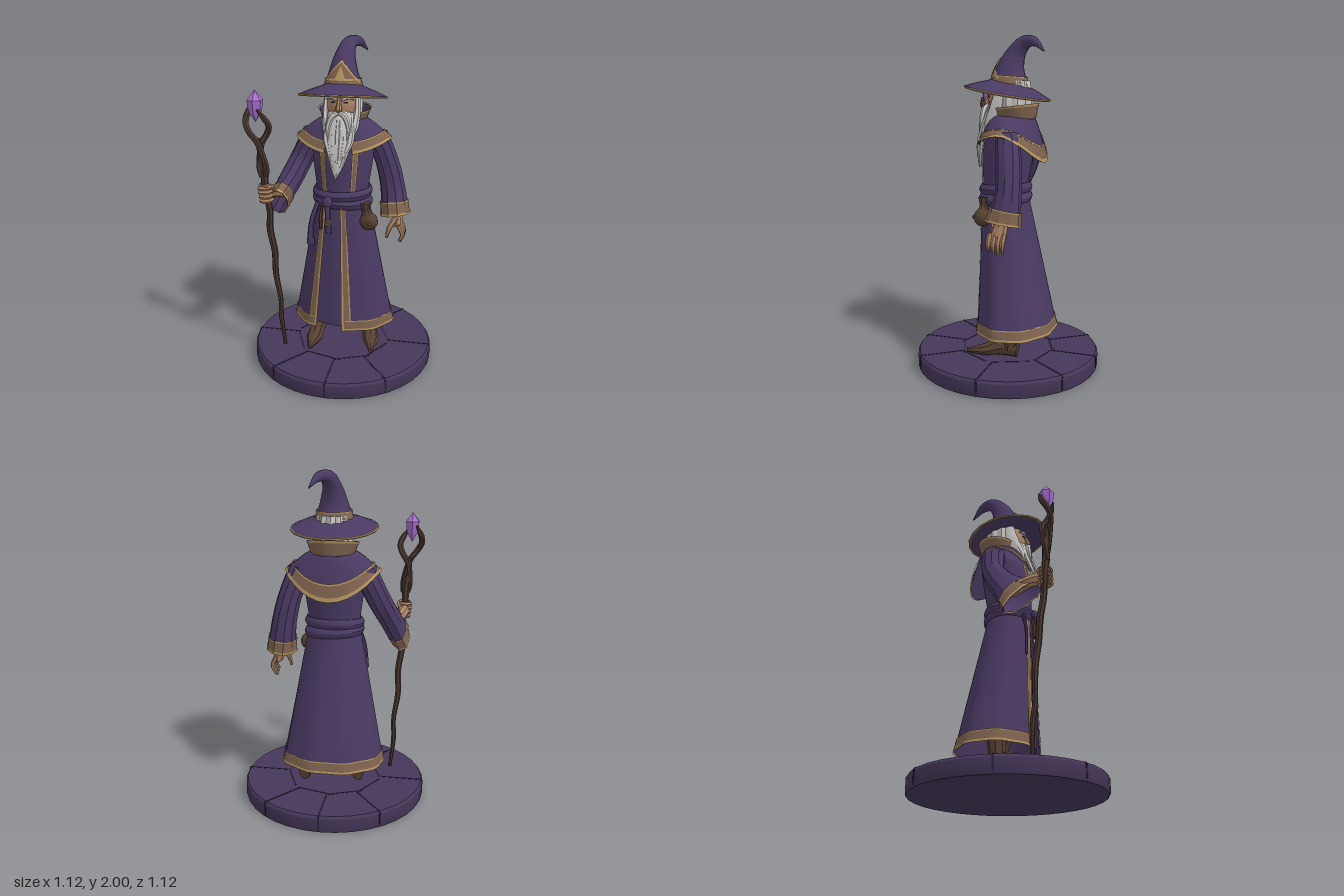
import * as THREE from 'three';
import { toCreasedNormals } from 'three/addons/utils/BufferGeometryUtils.js';
import { ParametricGeometry } from 'three/addons/geometries/ParametricGeometry.js';

const V = (x, y, z) => new THREE.Vector3(x, y, z);
const lerp = THREE.MathUtils.lerp;
const TAU = Math.PI * 2;

export function createModel() {
  const root = new THREE.Group();
  root.name = 'wizardFigure';
  const mats = {};
  const colours = {
    robe: 0x4a3a63, stone: 0x46375a, crack: 0x2b2138, trim: 0x7f634f, gold: 0xb3935d,
    wood: 0x493730, leather: 0x553f31, skin: 0xa98163, hair: 0xc6c4c2, crystal: 0xa86fd0,
  };
  for (const [name, color] of Object.entries(colours)) {
    mats[name] = new THREE.MeshStandardMaterial({ color, side: THREE.DoubleSide });
    mats[name].name = name;
  }

  function add(name, mat, geo, pos = [0, 0, 0], rot = [0, 0, 0], scale = [1, 1, 1]) {
    const m = new THREE.Mesh(toCreasedNormals(geo, 0.5), mats[mat]);
    m.name = name;
    m.position.set(...pos);
    m.rotation.set(...rot);
    m.scale.set(...scale);
    root.add(m);
    return m;
  }
  // Surface from a rule of two parameters
  const surf = (name, mat, fn, nu, nv) =>
    add(name, mat, new ParametricGeometry((u, v, t) => t.copy(fn(u, v)), nu, nv));

  // Tapered tube; each point is [x, y, z, radius, second radius]
  function limb(name, mat, pts, o = {}) {
    const { ref = V(0, 0, 1), n = 8, seg = pts.length * 3, t0 = 0, t1 = 1, u0 = 0, u1 = 1, off = 0, cap = true } = o;
    const curve = new THREE.CatmullRomCurve3(pts.map(p => V(p[0], p[1], p[2])));
    const rows = cap ? seg + 2 : seg;
    return surf(name, mat, (u, v) => {
      const k = Math.round(v * rows) - (cap ? 1 : 0);
      const end = typeof t1 === 'function' ? t1(u) : t1;
      const t = lerp(t0, end, THREE.MathUtils.clamp(k / seg, 0, 1));
      const f = t * (pts.length - 1), i = Math.min(Math.floor(f), pts.length - 2);
      const a = pts[i], b = pts[i + 1], flat = cap && (k < 0 || k > seg) ? 0 : 1;
      const r1 = (lerp(a[3], b[3], f - i) + off) * flat;
      const r2 = (lerp(a[4] ?? a[3], b[4] ?? b[3], f - i) + off) * flat;
      const T = curve.getTangent(t), N = ref.clone().cross(T).normalize(), B = T.clone().cross(N);
      const ang = lerp(u0, u1, u) * TAU;
      return curve.getPoint(t).addScaledVector(N, r1 * Math.cos(ang)).addScaledVector(B, r2 * Math.sin(ang));
    }, n, rows);
  }

  // Body outline: height, half width, front z, back z
  const rows = [[0.24, 0.31, 0.175, -0.295], [1.05, 0.16, 0.15, -0.125], [1.12, 0.155, 0.145, -0.12],
    [1.3, 0.18, 0.15, -0.15], [1.42, 0.19, 0.13, -0.165], [1.5, 0.13, 0.08, -0.15], [1.56, 0.08, 0.05, -0.1]];
  function body(a, y, off = 0) {
    let i = 0;
    while (i < rows.length - 2 && y > rows[i + 1][0]) i++;
    const f = (y - rows[i][0]) / (rows[i + 1][0] - rows[i][0]);
    const [rx, zf, zb] = [1, 2, 3].map(c => lerp(rows[i][c], rows[i + 1][c], f));
    const fold = Math.max(0, 1 - y) * 0.008 * Math.cos(a * 9);
    return V((rx + off + fold) * Math.sin(a), y, (zf + zb) / 2 + ((zf - zb) / 2 + off + fold) * Math.cos(a));
  }
  const patch = (name, mat, a0, a1, y0, y1, off, nu, nv) =>
    surf(name, mat, (u, v) => body(lerp(a0, a1, u), lerp(y0, y1, v), off), nu, nv);

  // Stone base with cracks
  add('base', 'stone', new THREE.LatheGeometry(
    [[0, 0], [0.555, 0], [0.56, 0.01], [0.56, 0.085], [0.55, 0.1], [0, 0.1]].map(p => new THREE.Vector2(...p)), 36));
  for (let i = 0; i < 8; i++) {
    const a = i * TAU / 8 + (i % 2 ? 0.13 * (i % 4 - 2) : 0), b = a + TAU / 16;
    add('baseCrack', 'crack', new THREE.BoxGeometry(0.01, 0.004, 0.27),
      [Math.sin(a) * 0.42, 0.1, Math.cos(a) * 0.42], [0, a, 0]);
    add('baseNotch', 'crack', new THREE.BoxGeometry(0.012, 0.08, 0.004),
      [Math.sin(a) * 0.559, 0.053, Math.cos(a) * 0.559], [0, a, 0]);
    add('innerCrack', 'crack', new THREE.BoxGeometry(0.22, 0.004, 0.008),
      [Math.sin(b) * 0.27, 0.1, Math.cos(b) * 0.27], [0, b, 0]);
  }

  // Boots
  for (const [x, heel, toeX, toe] of [[-0.16, -0.08, -0.17, 0.22], [0.17, -0.12, 0.21, 0.19]]) {
    limb('shoe', 'leather', [[x, 0.15, heel, 0.035, 0.05], [x, 0.16, heel + 0.09, 0.046, 0.06],
      [lerp(x, toeX, 0.6), 0.135, lerp(heel, toe, 0.65), 0.05, 0.035], [toeX, 0.122, toe, 0.012, 0.012]], { ref: V(0, 1, 0) });
    limb('bootLeg', 'leather', [[x, 0.15, heel + 0.05, 0.045], [x, 0.26, heel + 0.04, 0.052], [x * 0.85, 0.5, -0.02, 0.06]]);
  }

  // Robe: long coat, inner panel and bodice
  const A0 = 0.1, A1 = TAU - 0.48;
  patch('coatSkirt', 'robe', A0, A1, 0.24, 1.1, 0, 36, 8);
  patch('innerPanel', 'robe', -0.6, 0.25, 0.26, 1.1, -0.014, 6, 6);
  patch('bodice', 'robe', 0, TAU, 1.05, 1.56, 0, 24, 10);
  patch('hemTrim', 'trim', A0, A1, 0.245, 0.3, 0.005, 36, 1);
  patch('hemEdgeLow', 'gold', A0, A1, 0.236, 0.25, 0.007, 36, 1);
  patch('hemEdgeHigh', 'gold', A0, A1, 0.298, 0.304, 0.007, 36, 1);
  for (const [a, s] of [[A0, 1], [A1, -1]]) {
    patch('coatFrontTrim', 'trim', a, a + s * 0.16, 0.24, 1.04, 0.005, 2, 8);
    patch('coatFrontEdge', 'gold', a - s * 0.02, a + s * 0.03, 0.24, 1.04, 0.008, 1, 8);
    patch('coatInnerEdge', 'gold', a + s * 0.145, a + s * 0.175, 0.3, 1.04, 0.008, 1, 8);
    patch('chestTrim', 'trim', s * 0.44, s * 0.62, 1.11, 1.42, 0.005, 2, 5);
    for (const e of [0.43, 0.6]) patch('chestEdge', 'gold', s * e, s * (e + 0.04), 1.11, 1.42, 0.008, 1, 5);
  }

  // Shoulder mantle, drooping to a point at the back
  const mantle = (off, t0, t1) => (u, v) => {
    const a = lerp(0.3, TAU - 0.3, u), t = lerp(t0, t1, v), c = Math.cos(a);
    const edge = c > 0 ? lerp(1.42, 1.35, c * c) : lerp(1.42, 1.26, c * c);
    const rz = lerp(0.11, c > 0 ? 0.19 : 0.185, t);
    return V(Math.sin(a) * (lerp(0.1, 0.27, t) + off), lerp(1.54, edge, t ** 1.5) + off, -0.035 + c * (rz + off));
  };
  surf('mantle', 'robe', mantle(0.004, 0, 1), 28, 6);
  surf('mantleTrim', 'trim', mantle(0.009, 0.78, 1), 28, 3);
  surf('mantleEdge', 'gold', mantle(0.012, 0.96, 1.02), 28, 1);
  surf('mantleInnerEdge', 'gold', mantle(0.012, 0.76, 0.79), 28, 1);

  // Standing collar
  const collar = (off, t0, t1) => (u, v) => {
    const a = lerp(0.6, TAU - 0.6, u), t = lerp(t0, t1, v);
    return V(Math.sin(a) * (lerp(0.11, 0.15, t) + off), lerp(1.48, 1.59 - 0.015 * Math.cos(a), t),
      -0.055 + Math.cos(a) * (lerp(0.105, 0.125, t) + off));
  };
  surf('collar', 'robe', collar(0, 0, 1), 20, 2);
  surf('collarTrim', 'trim', collar(0.004, 0.35, 0.98), 20, 2);
  surf('collarEdge', 'gold', collar(0.006, 0.92, 1.03), 20, 1);

  // Sleeves with trimmed cuffs
  const leftArm = [[0.19, 1.43, -0.06, 0.07], [0.25, 1.27, -0.09, 0.07, 0.075], [0.285, 1.12, -0.1, 0.075], [0.31, 0.94, -0.075, 0.085, 0.1]];
  const rightArm = [[-0.19, 1.43, -0.06, 0.07], [-0.265, 1.27, -0.05, 0.07], [-0.325, 1.14, 0.03, 0.07, 0.09], [-0.37, 1.04, 0.14, 0.062, 0.16]];
  for (const [side, arm] of [['left', leftArm], ['right', rightArm]]) {
    limb(side + 'Sleeve', 'robe', arm, { n: 10, cap: false });
    limb(side + 'CuffTrim', 'trim', arm, { n: 10, cap: false, t0: 0.86, off: 0.006, seg: 2 });
    limb(side + 'CuffEdge', 'gold', arm, { n: 10, cap: false, t0: 0.975, off: 0.01, seg: 1 });
    limb(side + 'CuffUpperEdge', 'gold', arm, { n: 10, cap: false, t0: 0.85, t1: 0.865, off: 0.009, seg: 1 });
  }

  // Relaxed left hand
  limb('leftPalm', 'skin', [[0.31, 1.04, -0.08, 0.035], [0.32, 0.95, -0.07, 0.034, 0.04], [0.335, 0.87, -0.055, 0.03, 0.05]]);
  for (let i = 0; i < 4; i++) {
    const z = -0.095 + i * 0.028;
    limb('leftFinger', 'skin', [[0.34, 0.89, z, 0.016], [0.365, 0.83, z + 0.004, 0.015], [0.345, 0.765 + 0.012 * Math.abs(i - 1), z + 0.008, 0.008]], { n: 6 });
  }
  limb('leftThumb', 'skin', [[0.32, 0.93, -0.03, 0.02], [0.285, 0.87, 0, 0.016], [0.27, 0.81, 0.01, 0.008]], { n: 6 });

  // Right hand gripping the staff
  limb('rightForearm', 'skin', [[-0.35, 1.09, 0.07, 0.04], [-0.39, 1.12, 0.17, 0.036], [-0.405, 1.13, 0.235, 0.032, 0.045]], { ref: V(0, 1, 0) });
  for (let i = 0; i < 4; i++)
    add('rightFinger', 'skin', new THREE.TorusGeometry(0.034, 0.014, 6, 10, 4.8),
      [-0.412 + i * 0.003, 1.172 - i * 0.025, 0.262], [Math.PI / 2, 0, -2.6]);
  limb('rightThumb', 'skin', [[-0.39, 1.14, 0.22, 0.018], [-0.37, 1.175, 0.26, 0.014], [-0.4, 1.19, 0.3, 0.009]], { n: 6, ref: V(1, 0, 0) });

  // Staff: gnarled shaft, two twisting prongs and a crystal
  limb('staffShaft', 'wood', [[-0.34, 0.1, 0.17, 0.011], [-0.36, 0.3, 0.175, 0.016], [-0.355, 0.42, 0.19, 0.015],
    [-0.38, 0.6, 0.195, 0.019], [-0.375, 0.75, 0.215, 0.02], [-0.395, 0.9, 0.23, 0.021], [-0.385, 1.02, 0.25, 0.02],
    [-0.405, 1.15, 0.26, 0.02], [-0.405, 1.25, 0.27, 0.024], [-0.42, 1.38, 0.275, 0.022], [-0.43, 1.46, 0.28, 0.01]], { n: 7 });
  const spread = [0.012, 0.02, 0.02, 0.022, 0.03, 0.055, 0.066, 0.062, 0.054];
  for (let s = 0; s < 2; s++)
    limb('staffProng', 'wood', spread.map((r, i) => {
      const a = s * Math.PI + 2.6 + i * 0.6;
      return [-0.405 - i * 0.0045 + r * Math.cos(a), 1.24 + i * 0.052 + (s ? 0 : -i * 0.003), 0.275 + i * 0.001 + r * Math.sin(a) * 0.8,
        i === 8 ? 0.006 : 0.018];
    }), { n: 6 });
  add('staffCrystal', 'crystal', new THREE.LatheGeometry(
    [[0, -0.09], [0.038, -0.03], [0.046, 0.035], [0, 0.09]].map(p => new THREE.Vector2(...p)), 6).toNonIndexed(),
  [-0.438, 1.645, 0.285]);

  // Sash, knot and hanging tails
  for (const [y, off] of [[1.025, 0.006], [1.075, 0.009]])
    surf('sash', 'robe', (u, v) => {
      const a = u * TAU;
      return body(a, y + v * 0.06 + 0.008 * Math.sin(a + y * 40), off + 0.016 * Math.sin(Math.PI * v));
    }, 28, 4);
  add('sashKnot', 'robe', new THREE.IcosahedronGeometry(0.032, 1), [-0.06, 1.07, 0.17], [0, 0, 0], [1, 1.1, 0.6]);
  limb('sashTail', 'robe', [[-0.06, 1.07, 0.17, 0.02, 0.01], [-0.055, 0.97, 0.18, 0.016, 0.01], [-0.05, 0.88, 0.18, 0.02, 0.008]]);
  limb('sashTail', 'robe', [[-0.13, 1.05, 0.11, 0.015, 0.01], [-0.165, 0.93, 0.13, 0.016, 0.01], [-0.175, 0.78, 0.13, 0.024, 0.008]]);
  limb('beltCharm', 'leather', [[-0.095, 1.04, 0.16, 0.008], [-0.1, 0.96, 0.17, 0.014], [-0.1, 0.9, 0.17, 0.008]], { n: 6 });
  add('charmRing', 'gold', new THREE.TorusGeometry(0.016, 0.005, 6, 10), [-0.05, 0.95, 0.195]);

  // Belt pouch
  add('pouch', 'leather', new THREE.IcosahedronGeometry(0.055, 2), [0.175, 0.945, 0.1], [0, 0, 0], [1, 1, 0.9]);
  limb('pouchNeck', 'leather', [[0.165, 0.98, 0.1, 0.035], [0.155, 1.01, 0.1, 0.022], [0.15, 1.06, 0.1, 0.034]]);
  add('pouchClasp', 'trim', new THREE.SphereGeometry(0.013, 8, 6), [0.185, 0.945, 0.148]);

  // Head and face
  add('head', 'skin', new THREE.SphereGeometry(0.1, 14, 10), [0, 1.63, 0.02], [0, 0, 0], [0.9, 1.2, 0.98]);
  limb('neck', 'skin', [[0, 1.48, -0.02, 0.06], [0, 1.6, 0, 0.06]]);
  limb('nose', 'skin', [[0, 1.675, 0.108, 0.01], [0, 1.635, 0.125, 0.014], [0, 1.61, 0.135, 0.02, 0.014], [0, 1.6, 0.125, 0.012]], { n: 6 });
  surf('backHair', 'hair', (u, v) => {
    const a = lerp(1.15, TAU - 1.15, u), w = 0.006 * Math.cos(a * 12) + 0.012 * Math.sin(v * 3);
    return V((0.094 + w) * Math.sin(a), lerp(1.5, 1.74, v), -0.025 + (0.105 + w) * Math.cos(a));
  }, 28, 4);
  for (const s of [-1, 1]) {
    add('eye', 'crack', new THREE.BoxGeometry(0.026, 0.007, 0.006), [s * 0.036, 1.648, 0.109], [0, s * 0.3, 0]);
    limb('eyebrow', 'hair', [[s * 0.014, 1.662, 0.116, 0.008], [s * 0.045, 1.675, 0.108, 0.01], [s * 0.078, 1.662, 0.085, 0.004]], { n: 6 });
    limb('moustache', 'hair', [[s * 0.004, 1.592, 0.128, 0.012], [s * 0.035, 1.575, 0.135, 0.018], [s * 0.06, 1.51, 0.145, 0.014], [s * 0.055, 1.44, 0.16, 0.003]], { n: 6 });
    limb('sideburn', 'hair', [[s * 0.088, 1.7, 0.02, 0.012, 0.03], [s * 0.092, 1.6, 0.035, 0.018, 0.045], [s * 0.08, 1.5, 0.08, 0.025, 0.04], [s * 0.06, 1.4, 0.13, 0.01]], { n: 7 });
  }

  // Beard with hanging locks
  limb('beard', 'hair', [[0, 1.585, 0.075, 0.075, 0.045], [0, 1.5, 0.105, 0.088, 0.05], [0, 1.39, 0.145, 0.07, 0.04],
    [-0.005, 1.29, 0.17, 0.038, 0.025], [-0.008, 1.22, 0.185, 0.004]], { n: 12 });
  for (let i = -3; i <= 3; i++)
    limb('beardLock', 'hair', [[i * 0.021, 1.55, 0.13 - Math.abs(i) * 0.009, 0.014], [i * 0.024, 1.45, 0.16 - Math.abs(i) * 0.009, 0.019],
      [i * 0.018, 1.36 + Math.abs(i) * 0.01, 0.178 - Math.abs(i) * 0.006, 0.016], [i * 0.011 - 0.005, 1.23 + Math.abs(i) * 0.03 + (i % 2) * 0.01, 0.19, 0.002]], { n: 6 });

  // Hat: tilted brim, curling crown and gilded band
  const tilt = [-0.17, 0, 0];
  add('hatBrim', 'robe', new THREE.LatheGeometry(
    [[0.09, 0.05], [0.13, 0.032], [0.19, 0.01], [0.258, -0.02], [0.254, -0.028], [0.18, -0.006], [0, 0.012]].map(p => new THREE.Vector2(...p)), 20),
  [0, 1.69, 0], tilt);
  add('hatBrimEdge', 'gold', new THREE.TorusGeometry(0.254, 0.007, 6, 20).rotateX(Math.PI / 2), [0, 1.666, 0.003], tilt);
  const crown = [[0, 1.7, -0.008, 0.118], [0, 1.81, -0.018, 0.082], [0.004, 1.9, -0.055, 0.056],
    [0.02, 1.955, -0.11, 0.041], [0.06, 1.957, -0.18, 0.027], [0.1, 1.9, -0.25, 0.003]];
  const X = V(1, 0, 0);
  limb('hatCrown', 'robe', crown, { ref: X, n: 14, seg: 15 });
  limb('hatBand', 'trim', crown, { ref: X, n: 20, seg: 2, t0: 0.04, t1: 0.115, off: 0.005, cap: false });
  const peak = (low, high) => u => lerp(low, high, 1 - Math.abs(u * 2 - 1));
  limb('hatEmblemEdge', 'gold', crown, { ref: X, n: 12, seg: 4, t0: 0.08, t1: peak(0.1, 0.285), u0: -0.2, u1: 0.2, off: 0.006, cap: false });
  limb('hatEmblem', 'trim', crown, { ref: X, n: 12, seg: 4, t0: 0.08, t1: peak(0.09, 0.255), u0: -0.18, u1: 0.18, off: 0.009, cap: false });
  limb('hatEmblemLeaf', 'gold', crown, { ref: X, n: 4, seg: 3, t0: 0.11, t1: peak(0.11, 0.225), u0: -0.05, u1: 0.05, off: 0.012, cap: false });
  limb('hatBandEdge', 'gold', crown, { ref: X, n: 20, seg: 1, t0: 0.108, t1: 0.122, off: 0.01, cap: false });

  return root;
}
